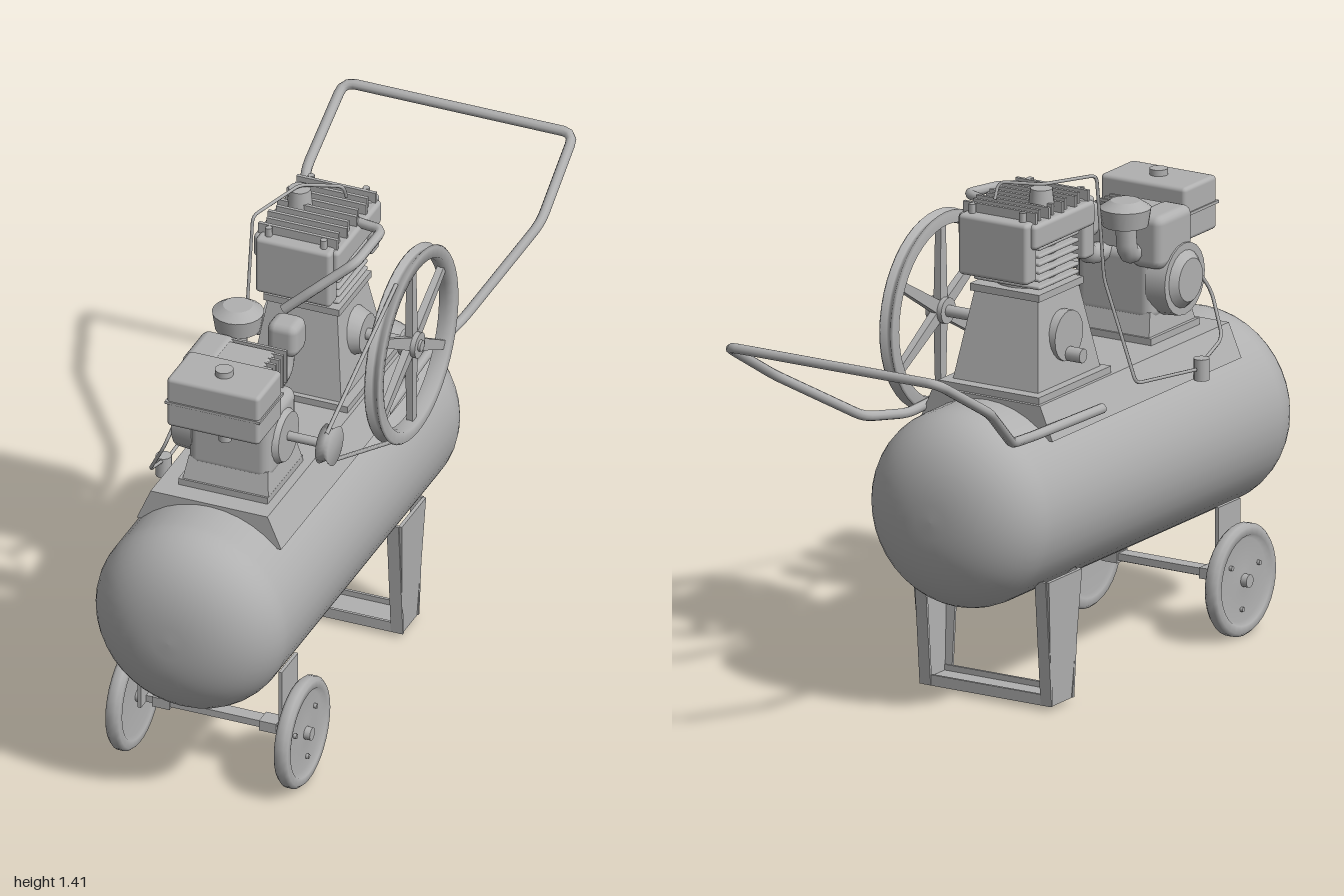
import * as THREE from 'three';
import { RoundedBoxGeometry } from 'three/addons/geometries/RoundedBoxGeometry.js';

export function createModel() {
  const model = new THREE.Group();
  model.name = 'airCompressor';
  const grey = new THREE.MeshStandardMaterial({ color: 0xb0b0b0 });
  grey.name = 'grey';

  // --- helpers ---
  const add = (name, geo, x = 0, y = 0, z = 0, parent = model) => {
    const m = new THREE.Mesh(geo, grey);
    m.name = name;
    m.position.set(x, y, z);
    parent.add(m);
    return m;
  };
  const box = (name, w, h, d, x, y, z) => add(name, new THREE.BoxGeometry(w, h, d), x, y, z);
  const rbox = (name, w, h, d, r, x, y, z) => add(name, new RoundedBoxGeometry(w, h, d, 2, r), x, y, z);
  const cyl = (name, r, len, axis, x, y, z, r2 = r, seg = 20) => {
    const g = new THREE.CylinderGeometry(r2, r, len, seg);
    if (axis === 'x') g.rotateZ(-Math.PI / 2);
    if (axis === 'z') g.rotateX(Math.PI / 2);
    return add(name, g, x, y, z);
  };
  const vec = p => new THREE.Vector3(...p);
  // Pipe with straight runs and rounded bends
  const pipe = (name, pts, r, bend = 0.03, sides = 8) => {
    const p = pts.map(vec), path = new THREE.CurvePath();
    let from = p[0];
    for (let i = 1; i < p.length - 1; i++) {
      const a = p[i].clone().add(p[i - 1].clone().sub(p[i]).setLength(bend));
      const b = p[i].clone().add(p[i + 1].clone().sub(p[i]).setLength(bend));
      path.add(new THREE.LineCurve3(from, a));
      path.add(new THREE.QuadraticBezierCurve3(a, p[i], b));
      from = b;
    }
    path.add(new THREE.LineCurve3(from, p[p.length - 1]));
    return add(name, new THREE.TubeGeometry(path, pts.length * 16, r, sides), 0, 0, 0);
  };
  // Box whose top has its own width and depth
  const taper = (name, w, d, w2, d2, y0, y1, x, z) => {
    const g = new THREE.BoxGeometry(w, y1 - y0, d), p = g.attributes.position;
    for (let i = 0; i < p.count; i++) {
      if (p.getY(i) > 0) { p.setX(i, p.getX(i) * w2 / w); p.setZ(i, p.getZ(i) * d2 / d); }
    }
    g.computeVertexNormals();
    return add(name, g, x, (y0 + y1) / 2, z);
  };
  // Turned part spun about the x axis, profile as [radius, x]
  const turned = (name, pts, x, y, z, seg = 40) => {
    const g = new THREE.LatheGeometry(pts.map(q => new THREE.Vector2(...q)), seg);
    g.rotateZ(-Math.PI / 2);
    return add(name, g, x, y, z);
  };

  // --- air tank with domed ends ---
  const tank = [], R = 0.275, dome = 0.18;
  for (let i = 0; i <= 12; i++) {
    const a = i / 12 * Math.PI / 2;
    tank.push(new THREE.Vector2(R * Math.pow(Math.sin(a), 0.85), -0.5 + dome * (1 - Math.cos(a))));
  }
  for (let i = 12; i >= 0; i--) tank.push(new THREE.Vector2(tank[i].x, 0.5 - tank[i].y));
  const tankGeo = new THREE.LatheGeometry(tank, 40);
  tankGeo.rotateX(Math.PI / 2);
  add('airTank', tankGeo, 0, 0.565, 0);

  // --- saddle plate on top of the tank ---
  const saddle = new THREE.Shape([[-0.21, 0.755], [0.21, 0.755], [0.17, 0.848], [-0.17, 0.848]].map(q => new THREE.Vector2(...q)));
  add('saddle', new THREE.ExtrudeGeometry(saddle, { depth: 0.94, bevelEnabled: false }), 0, 0, -0.22);

  // --- push handle ---
  const half = [[0.215, 0.79, 0.02], [0.2, 0.79, -0.3], [0.235, 0.815, -0.46], [0.342, 0.985, -0.74], [0.335, 1.125, -0.985]];
  pipe('pushHandle', [...half, ...half.slice().reverse().map(([x, y, z]) => [-x, y, z])], 0.014, 0.035, 10);

  // --- rear legs: tapered channels joined by a foot bar ---
  const legShape = new THREE.Shape([[0.085, 0.37], [0.115, 0.015], [0.22, 0.015], [0.25, 0.37]].map(q => new THREE.Vector2(...q)));
  for (const s of [1, -1]) {
    const g = new THREE.ExtrudeGeometry(legShape, { depth: 0.01, bevelEnabled: false });
    g.rotateY(Math.PI / 2);
    const leg = add('rearLeg', g, s * 0.2 - 0.005, 0, 0);
    leg.rotation.z = -s * 0.035;
    for (const [z, tilt] of [[-0.1, 1], [-0.235, -1]]) {
      const f = box('legFlange', 0.035, 0.355, 0.008, s * 0.192, 0.193, z);
      f.rotation.x = tilt * 0.085;
    }
  }
  box('footBar', 0.4, 0.014, 0.105, 0, 0.022, -0.1675);
  box('footBarLip', 0.4, 0.03, 0.008, 0, 0.03, -0.116);
  box('footBarLip', 0.4, 0.03, 0.008, 0, 0.03, -0.219);

  // --- front axle and wheels ---
  box('axleBeam', 0.4, 0.02, 0.04, 0, 0.165, 0.66);
  cyl('axle', 0.009, 0.55, 'x', 0, 0.157, 0.66);
  for (const s of [1, -1]) {
    box('axleBracket', 0.01, 0.21, 0.11, s * 0.205, 0.26, 0.66);
    box('axleClamp', 0.05, 0.03, 0.05, s * 0.155, 0.163, 0.66);
    const wheel = turned('wheel', [[0, -0.012], [0.115, -0.012], [0.125, -0.02], [0.146, -0.02], [0.155, -0.01],
      [0.155, 0.01], [0.146, 0.02], [0.125, 0.02], [0.115, 0.006], [0.03, 0.012], [0, 0.012]], s * 0.245, 0.157, 0.66, 32);
    if (s < 0) wheel.rotation.y = Math.PI;
    cyl('wheelHub', 0.018, 0.05, 'x', s * 0.25, 0.157, 0.66);
    for (let i = 0; i < 3; i++) {
      const a = i * Math.PI * 2 / 3 + 0.4;
      cyl('wheelBolt', 0.007, 0.012, 'x', s * 0.256, 0.157 + 0.08 * Math.sin(a), 0.66 + 0.08 * Math.cos(a), 0.007, 8);
    }
  }

  // --- pump: pedestal, finned cylinder and head ---
  const pz = -0.02;
  box('pumpBase', 0.32, 0.02, 0.36, 0, 0.857, -0.03);
  taper('pumpCrankcase', 0.27, 0.31, 0.2, 0.2, 0.865, 1.11, 0, pz);
  cyl('pumpBearing', 0.075, 0.05, 'x', 0.12, 1, pz, 0.055);
  cyl('pumpCover', 0.07, 0.03, 'x', -0.12, 0.99, pz);
  cyl('pumpBreather', 0.02, 0.06, 'x', -0.15, 0.94, pz, 0.02, 10);
  box('pumpFlange', 0.22, 0.02, 0.22, 0, 1.115, pz);
  cyl('pumpCylinder', 0.085, 0.15, 'y', 0, 1.19, pz);
  for (let i = 0; i < 6; i++) rbox('cylinderFin', 0.21, 0.011, 0.2, 0.005, 0, 1.14 + i * 0.022, pz);
  rbox('pumpHead', 0.25, 0.07, 0.3, 0.012, 0, 1.295, pz);
  for (let i = 0; i < 9; i++) box('headFin', 0.23 - 0.02 * (i % 2), 0.035, 0.01, 0, 1.343, pz - 0.13 + i * 0.0325);
  for (const z of [-0.165, 0.125]) {
    rbox('intakeFilter', 0.22, 0.17, 0.055, 0.012, 0, 1.25, z);
    for (const x of [-0.08, 0.08]) cyl('headBolt', 0.01, 0.03, 'y', x, 1.345, z, 0.01, 6);
  }
  cyl('unloaderValve', 0.035, 0.05, 'y', -0.06, 1.37, -0.04, 0.03);
  pipe('unloaderPipe', [[0.05, 1.36, -0.1], [0.05, 1.405, -0.08], [-0.06, 1.405, -0.04], [-0.12, 1.395, 0.14], [-0.125, 1.1, 0.17], [-0.22, 0.82, 0.18], [-0.23, 0.79, 0.46]], 0.005, 0.02, 6);
  pipe('dischargePipe', [[0.1, 1.33, -0.04], [0.19, 1.335, -0.02], [0.18, 1.32, 0.14], [0.08, 1.24, 0.19], [0, 1.17, 0.21]], 0.014, 0.03);

  // --- flywheel with six spokes ---
  const fx = 0.273, fy = 0.998;
  turned('flywheelRim', [[0.24, -0.022], [0.27, -0.022], [0.275, -0.016], [0.262, -0.004], [0.262, 0.004],
    [0.275, 0.016], [0.27, 0.022], [0.24, 0.022], [0.235, 0], [0.24, -0.022]], fx, fy, pz, 48);
  cyl('flywheelHub', 0.036, 0.05, 'x', fx, fy, pz);
  cyl('crankshaft', 0.016, 0.2, 'x', 0.205, fy, pz);
  for (let i = 0; i < 6; i++) {
    const a = i * Math.PI / 3;
    const spoke = taper('spoke', 0.022, 0.036, 0.018, 0.024, 0.02, 0.245, fx, pz);
    spoke.position.set(fx, fy + 0.132 * Math.cos(a), pz + 0.132 * Math.sin(a));
    spoke.rotation.x = a;
  }

  // --- engine ---
  const ez = 0.54;
  box('engineBase', 0.26, 0.02, 0.24, 0.015, 0.857, ez);
  taper('engineSump', 0.25, 0.23, 0.23, 0.19, 0.865, 0.93, 0.02, ez);
  rbox('engineCrankcase', 0.24, 0.2, 0.2, 0.03, 0.02, 1, ez);
  cyl('crankcaseCover', 0.085, 0.03, 'x', 0.14, 0.995, ez, 0.07);
  cyl('driveShaft', 0.013, 0.15, 'x', 0.21, fy, ez);
  cyl('recoilStarter', 0.1, 0.06, 'x', -0.115, 1.01, ez, 0.105);
  cyl('starterCap', 0.06, 0.025, 'x', -0.152, 1.01, ez, 0.085);
  rbox('engineCylinder', 0.15, 0.12, 0.13, 0.01, 0.01, 1.14, 0.52);
  for (let i = 0; i < 6; i++) box('engineFin', 0.22, 0.1, 0.008, 0, 1.15, 0.445 + i * 0.025);
  rbox('engineShroud', 0.1, 0.15, 0.17, 0.025, -0.09, 1.13, 0.51);
  box('fuelTankBracket', 0.16, 0.03, 0.14, 0.02, 1.085, 0.62);
  rbox('fuelTankLower', 0.27, 0.08, 0.16, 0.012, 0.027, 1.13, 0.68);
  rbox('fuelTankUpper', 0.27, 0.08, 0.16, 0.012, 0.027, 1.2, 0.68);
  box('fuelTankSeam', 0.276, 0.008, 0.166, 0.027, 1.165, 0.68);
  cyl('fuelCap', 0.025, 0.02, 'y', 0.027, 1.247, 0.68);
  cyl('fuelFilter', 0.018, 0.05, 'y', 0.03, 1.06, 0.68, 0.018, 12);
  cyl('airFilter', 0.062, 0.05, 'y', -0.065, 1.215, 0.37, 0.07);
  cyl('airFilterLid', 0.07, 0.02, 'y', -0.065, 1.25, 0.37, 0.04);
  pipe('intakeElbow', [[-0.065, 1.2, 0.37], [-0.065, 1.1, 0.38], [-0.04, 1.1, 0.48]], 0.028, 0.04, 10);
  rbox('muffler', 0.09, 0.1, 0.085, 0.025, 0.07, 1.19, 0.355);
  pipe('exhaustElbow', [[0.07, 1.17, 0.36], [0.07, 1.08, 0.38], [0.05, 1.08, 0.47]], 0.028, 0.04, 10);

  // --- belt drive ---
  turned('drivePulley', [[0, -0.018], [0.055, -0.018], [0.043, 0], [0.055, 0.018], [0, 0.018]], fx, fy, ez, 24);
  const sinA = 0.22 / (ez - pz), cosA = Math.sqrt(1 - sinA * sinA);
  for (const s of [1, -1]) {
    pipe('driveBelt', [[fx, fy + s * 0.048 * cosA, ez + 0.048 * sinA], [fx, fy + s * 0.266 * cosA, pz + 0.266 * sinA]], 0.006, 0.01, 6);
  }

  // --- pilot valve and throttle line ---
  cyl('pilotValve', 0.022, 0.06, 'y', -0.23, 0.785, 0.49, 0.022, 12);
  pipe('throttleLine', [[-0.23, 0.8, 0.49], [-0.22, 0.84, 0.61], [-0.16, 0.95, 0.65], [-0.12, 1.1, 0.56]], 0.005, 0.03, 6);

  return model;
}
